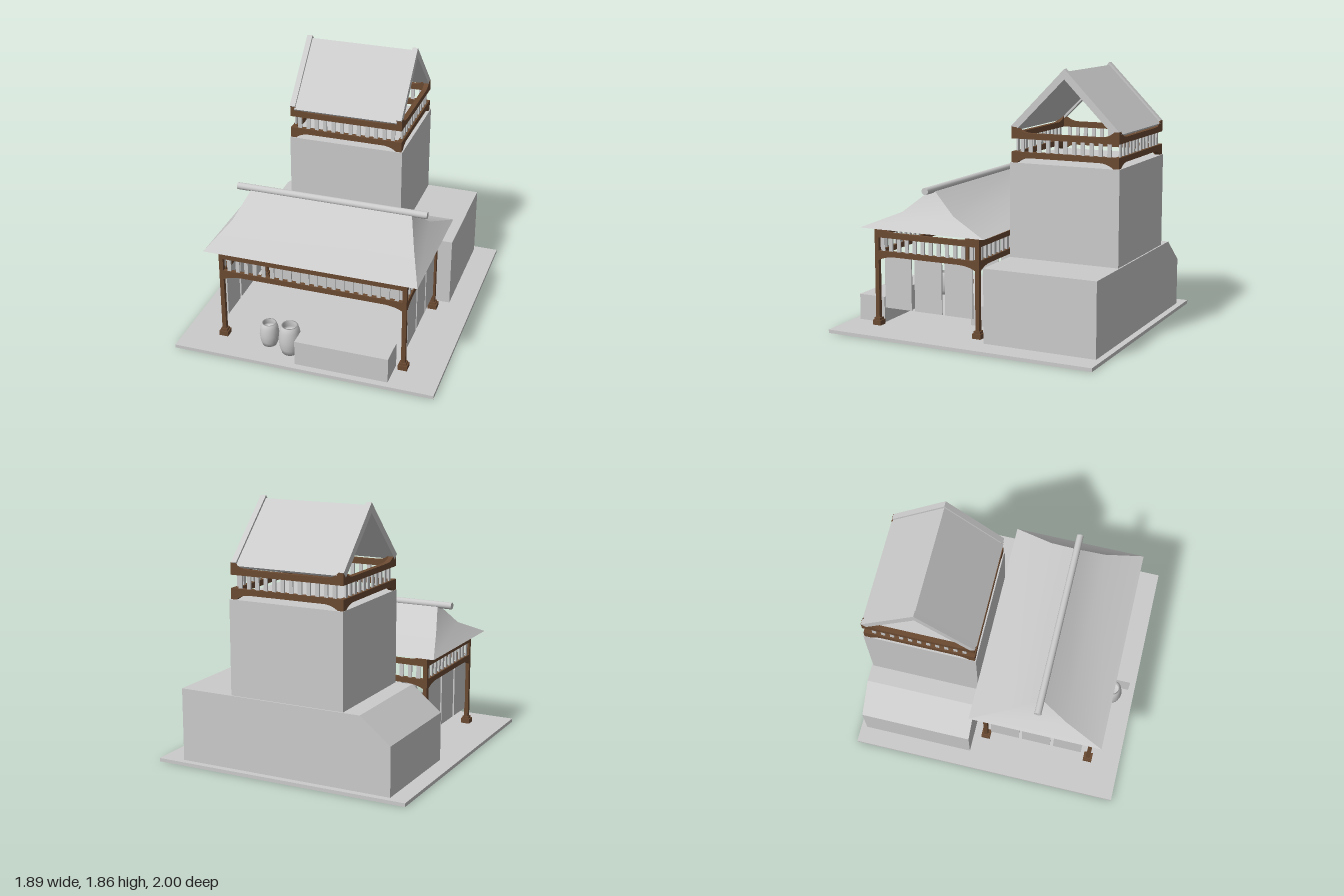
import * as THREE from 'three';

const grey = new THREE.MeshStandardMaterial({ color: 0xcccccc });
const greyTwoSided = new THREE.MeshStandardMaterial({ color: 0xcccccc, side: THREE.DoubleSide });
const brown = new THREE.MeshStandardMaterial({ color: 0x6b4a32 });

function add(parent, name, geometry, material = grey) {
  const mesh = new THREE.Mesh(geometry, material);
  mesh.name = name;
  parent.add(mesh);
  return mesh;
}

// Box given by its limits on each axis
function box(parent, name, [x0, x1], [y0, y1], [z0, z1], material = grey) {
  const mesh = add(parent, name, new THREE.BoxGeometry(x1 - x0, y1 - y0, z1 - z0), material);
  mesh.position.set((x0 + x1) / 2, (y0 + y1) / 2, (z0 + z1) / 2);
  return mesh;
}

const polygon = (pts) => new THREE.Shape(pts.map(([x, y]) => new THREE.Vector2(x, y)));
const extrude = (shape, depth) =>
  new THREE.ExtrudeGeometry(shape, { depth, bevelEnabled: false, curveSegments: 10 });

// Beam with a flat edge at y = 0 and ends that flare away from it
function beamGeometry(length, mid, end, flat, reach, thickness) {
  const h = length / 2;
  const s = new THREE.Shape();
  s.moveTo(-h, 0);
  s.lineTo(h, 0);
  s.lineTo(h, end);
  s.lineTo(h - flat, end);
  s.quadraticCurveTo(h - flat - reach * 0.4, mid, h - flat - reach, mid);
  s.lineTo(-h + flat + reach, mid);
  s.quadraticCurveTo(-h + flat + reach * 0.4, mid, -h + flat, end);
  s.lineTo(-h, end);
  return extrude(s, thickness).translate(0, 0, -thickness / 2);
}

// Two mirrored beams with a row of slats between them, running along x
function railing(name, length, low, high, mid, end, flat, reach, thickness) {
  const g = new THREE.Group();
  g.name = name;
  const geometry = beamGeometry(length, mid, end, flat, reach, thickness);
  add(g, 'upperBeam', geometry, brown).position.y = high;
  const lower = add(g, 'lowerBeam', geometry, brown);
  lower.position.y = low;
  lower.rotation.x = Math.PI;
  const count = Math.round((length - 0.12) / 0.064);
  for (let i = 0; i <= count; i++) {
    const x = (i - count / 2) * 0.064;
    box(g, 'slat', [x - 0.014, x + 0.014], [low, high], [-0.006, 0.006]);
  }
  return g;
}

// Railings round the four sides of a rectangle
function railingRing(parent, name, cx, cz, halfX, halfZ, thickness, ...sizes) {
  for (const s of [-1, 1]) {
    const along = railing(name, halfX * 2 + thickness, ...sizes, thickness);
    along.position.set(cx, 0, cz + s * halfZ);
    const across = railing(name, halfZ * 2 + thickness, ...sizes, thickness);
    across.rotation.y = Math.PI / 2;
    across.position.set(cx + s * halfX, 0, cz);
    parent.add(along, across);
  }
}

// Hipped roof: four strips through rectangular levels [halfX, y, halfZ], smooth up each slope
function hipRoofGeometry(levels) {
  const pos = [], index = [];
  for (const corners of [[[-1, 1], [1, 1]], [[1, 1], [1, -1]], [[1, -1], [-1, -1]], [[-1, -1], [-1, 1]]]) {
    const base = pos.length / 3;
    for (const [hx, y, hz] of levels)
      for (const [sx, sz] of corners) pos.push(sx * hx, y, sz * hz);
    for (let i = 0; i < levels.length - 1; i++) {
      const a = base + i * 2;
      index.push(a, a + 1, a + 3, a, a + 3, a + 2);
    }
  }
  const g = new THREE.BufferGeometry();
  g.setAttribute('position', new THREE.Float32BufferAttribute(pos, 3));
  g.setIndex(index);
  g.computeVertexNormals();
  return g;
}

// Gable section with its ridge along x
function gable(parent, name, x0, x1, apex, foot, inner, innerFoot) {
  const shape = polygon([[0, apex], [-foot[0], foot[1]], [-innerFoot[0], innerFoot[1]],
    [0, inner], [innerFoot[0], innerFoot[1]], [foot[0], foot[1]]]);
  const mesh = add(parent, name, extrude(shape, x1 - x0).rotateY(Math.PI / 2));
  mesh.position.set(x0, 0, -0.537);
}

function barrel(parent, x, z, y, radius, height) {
  const r = radius, h = height;
  const profile = [[0, 0], [r * 0.72, 0], [r * 0.9, h * 0.2], [r, h * 0.5], [r * 0.9, h * 0.82],
    [r * 0.75, h], [r * 0.62, h], [r * 0.7, h * 0.8], [r * 0.7, h * 0.7], [0, h * 0.7]];
  const geometry = new THREE.LatheGeometry(profile.map(([a, b]) => new THREE.Vector2(a, b)), 28);
  add(parent, 'barrel', geometry, greyTwoSided).position.set(x, y, z);
}

export function createModel() {
  const model = new THREE.Group();
  model.name = 'workshop';
  box(model, 'ground', [-0.945, 0.945], [0, 0.025], [-1, 1]);

  // Rear building with one sloped shoulder and a niche in its front
  const outline = () => polygon([[-0.82, 0.02], [0.77, 0.02], [0.77, 0.545], [-0.6, 0.545], [-0.82, 0.37]]);
  const front = outline();
  front.holes.push(polygon([[-0.37, 0.215], [-0.37, 0.49], [0.37, 0.49], [0.37, 0.215]]));
  add(model, 'rearBuildingFront', extrude(front, 0.15)).position.z = -0.285;
  add(model, 'rearBuilding', extrude(outline(), 0.67)).position.z = -0.955;

  // Curved back wall of the niche, drawn in plan
  const niche = new THREE.Shape();
  niche.moveTo(-0.37, 0);
  niche.quadraticCurveTo(-0.35, 0.12, -0.2, 0.135);
  niche.lineTo(0.25, 0.135);
  niche.quadraticCurveTo(0.32, 0.135, 0.33, 0.11);
  niche.lineTo(0.37, 0);
  niche.lineTo(0.37, 0.15);
  niche.lineTo(-0.37, 0.15);
  const nicheWall = add(model, 'nicheWall', extrude(niche, 0.275).rotateX(-Math.PI / 2));
  nicheWall.position.set(0, 0.215, -0.137);
  box(model, 'bench', [-0.545, 0.545], [0.07, 0.215], [-0.14, 0.08]);

  // Tower and its balcony railing
  box(model, 'tower', [-0.475, 0.375], [0.54, 1.21], [-0.945, -0.14]);
  railingRing(model, 'towerRailing', -0.053, -0.542, 0.402, 0.377, 0.035,
    1.285, 1.375, 0.04, 0.08, 0.035, 0.11);

  // Tower roof
  gable(model, 'towerRoof', -0.44, 0.33, 1.84, [0.4, 1.437], 1.812, [0.388, 1.423]);
  for (const x of [-0.475, 0.325])
    gable(model, 'bargeboard', x, x + 0.04, 1.86, [0.397, 1.458], 1.79, [0.365, 1.425]);

  // Porch roof with ridge pole
  const roof = new THREE.Group();
  roof.name = 'porchRoof';
  roof.position.set(0.005, 0, 0.35);
  model.add(roof);
  add(roof, 'roofSlopes', hipRoofGeometry([[0.765, 0.738, 0.488], [0.66, 0.855, 0.203], [0.587, 1.015, 0.01]]), greyTwoSided);
  const ceiling = add(roof, 'roofUnderside', new THREE.PlaneGeometry(1.53, 0.976), greyTwoSided);
  ceiling.rotation.x = Math.PI / 2;
  ceiling.position.y = 0.738;
  const pole = add(roof, 'ridgePole', new THREE.CylinderGeometry(0.025, 0.025, 1.39, 20).rotateZ(Math.PI / 2));
  pole.position.y = 1.018;

  // Porch posts, railing and hanging side panels
  railingRing(model, 'porchRailing', 0.003, 0.358, 0.665, 0.4, 0.03,
    0.565, 0.66, 0.038, 0.075, 0.02, 0.15);
  for (const x of [-0.662, 0.668]) {
    for (const z of [-0.042, 0.758]) {
      const around = (name, w, y0, y1) =>
        box(model, name, [x - w, x + w], [y0, y1], [z - w, z + w], brown);
      around('post', 0.015, 0.07, 0.738);
      around('postFoot', 0.033, 0.025, 0.06);
      around('postFootTop', 0.024, 0.06, 0.077);
    }
    for (const z of [0.107, 0.348, 0.59])
      box(model, 'hangingPanel', [x - 0.006, x + 0.006], [0.155, 0.53], [z - 0.108, z + 0.108]);
  }

  // Crate and barrels in front
  box(model, 'crate', [-0.06, 0.612], [0.025, 0.212], [0.745, 0.952]);
  barrel(model, -0.14, 0.825, 0.03, 0.08, 0.22);
  barrel(model, -0.315, 0.77, 0.025, 0.07, 0.175);
  return model;
}
